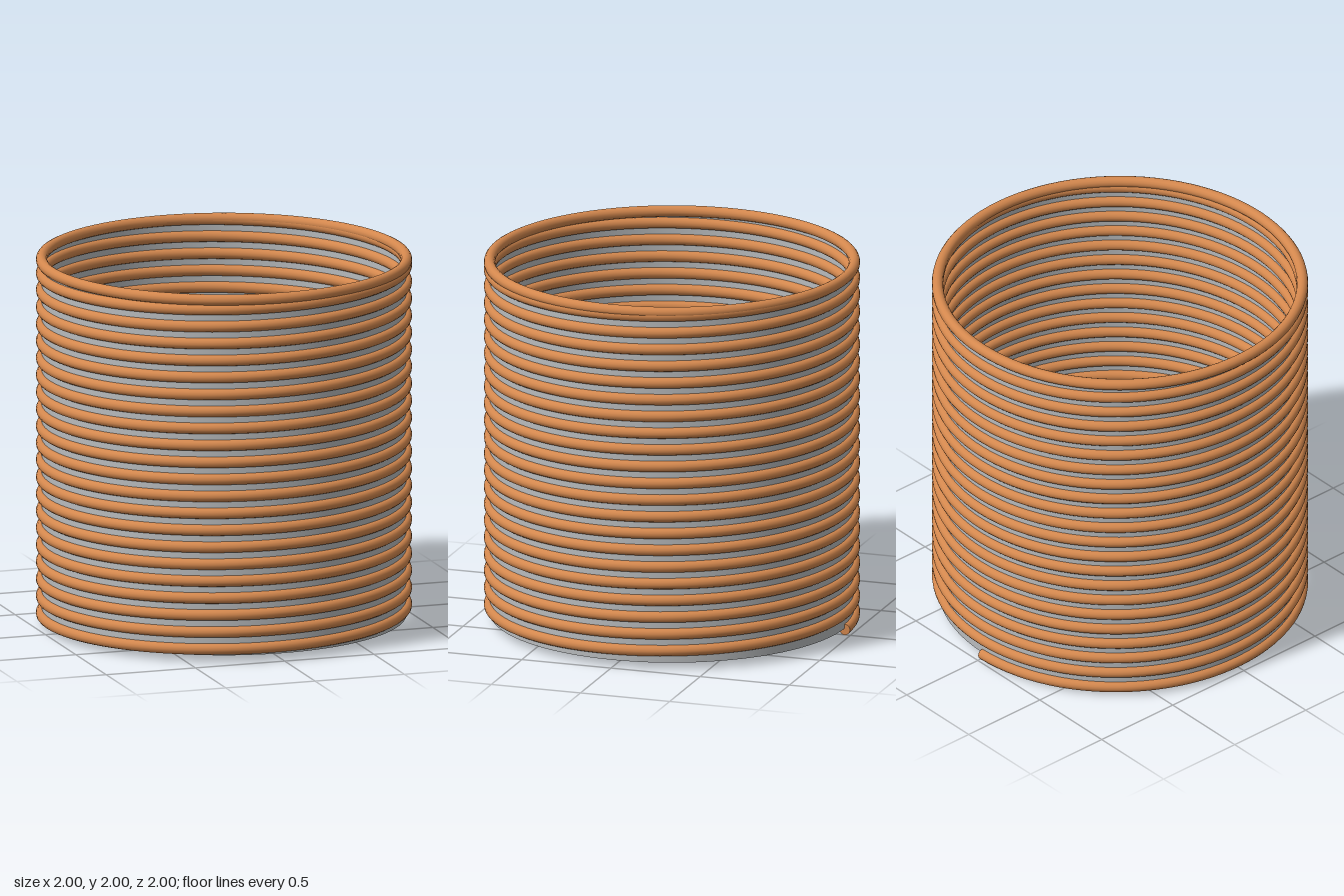
import * as THREE from 'three';

const RADIUS = 0.968;   // coil centre line
const WIRE = 0.03;      // wire radius
const TURNS = 21;
const BOTTOM = WIRE;
const TOP = 2 - WIRE;

// Rising helix that starts at the back and passes the right side first
class Helix extends THREE.Curve {
  getPoint(t, target = new THREE.Vector3()) {
    const a = t * TURNS * Math.PI * 2;
    return target.set(-RADIUS * Math.sin(a), BOTTOM + (TOP - BOTTOM) * t, -RADIUS * Math.cos(a));
  }
}

export function createModel() {
  const copper = new THREE.MeshStandardMaterial({ color: 0xd4884e });
  copper.name = 'copper';
  const grey = new THREE.MeshStandardMaterial({ color: 0xb8bbbd, side: THREE.DoubleSide });
  grey.name = 'grey';

  const model = new THREE.Group();
  model.name = 'coil';
  const add = (name, geometry, material) => {
    const mesh = new THREE.Mesh(geometry, material);
    mesh.name = name;
    model.add(mesh);
    return mesh;
  };

  // Wound wire
  const helix = new Helix();
  helix.arcLengthDivisions = TURNS * 96;
  add('winding', new THREE.TubeGeometry(helix, TURNS * 96, WIRE, 14, false), copper);

  // Cut face at the lower end of the wire
  const end = add('wireEnd', new THREE.CircleGeometry(WIRE, 14), copper);
  end.rotation.y = Math.PI / 2;
  end.position.set(0, BOTTOM, -RADIUS);

  // Level ring closing the top
  const ring = add('topRing', new THREE.TorusGeometry(RADIUS, WIRE, 14, 96), copper);
  ring.rotation.x = Math.PI / 2;
  ring.position.y = TOP;

  // Thin open sleeve between the turns
  const wallBottom = 0.037;
  const wall = add('sleeve',
    new THREE.CylinderGeometry(RADIUS, RADIUS, TOP - wallBottom, 96, 1, true), grey);
  wall.position.y = (TOP + wallBottom) / 2;

  return model;
}
